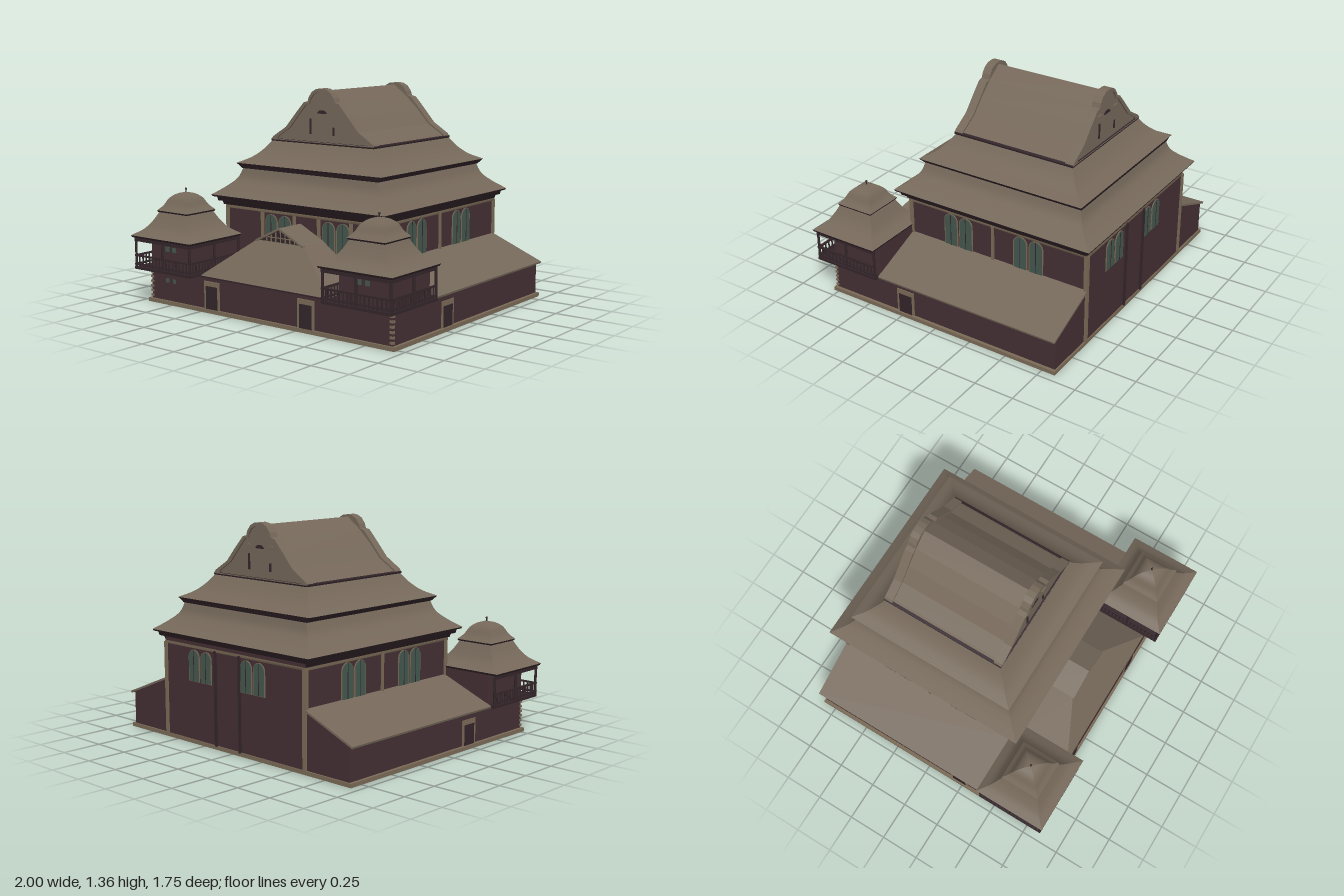
import * as THREE from 'three';

const mat = (name, color, side = THREE.FrontSide) => {
  const m = new THREE.MeshStandardMaterial({ color, side });
  m.name = name;
  return m;
};
const roofMat = mat('roof brown', 0x75685a, THREE.DoubleSide);
const wallMat = mat('dark maroon wall', 0x442f33);
const woodMat = mat('dark wood', 0x33252a, THREE.DoubleSide);
const trimMat = mat('tan trim', 0x7a6a56);
const glassMat = mat('green glass', 0x44584e);
const HALL_Z = -0.205; // centre of the hall and its roofs

function add(parent, name, geo, material, x = 0, y = 0, z = 0) {
  const m = new THREE.Mesh(geo, material);
  m.name = name;
  m.position.set(x, y, z);
  parent.add(m);
  return m;
}

// Box given by its extents
function block(parent, name, material, x0, x1, y0, y1, z0, z1) {
  return add(parent, name, new THREE.BoxGeometry(x1 - x0, y1 - y0, z1 - z0), material,
    (x0 + x1) / 2, (y0 + y1) / 2, (z0 + z1) / 2);
}

// Four-sided loft through rings of [half width, half depth, height]
function loft(rings) {
  const corners = [[-1, 1], [1, 1], [1, -1], [-1, -1]];
  const pos = [], idx = [];
  for (let k = 0; k < 4; k++) {
    const base = pos.length / 3;
    rings.forEach(([hx, hz, y], i) => {
      for (const [sx, sz] of [corners[k], corners[(k + 1) % 4]]) pos.push(sx * hx, y, sz * hz);
      if (i === 0) return;
      const a = base + 2 * (i - 1);
      idx.push(a, a + 1, a + 3, a, a + 3, a + 2);
    });
  }
  const g = new THREE.BufferGeometry();
  g.setAttribute('position', new THREE.Float32BufferAttribute(pos, 3));
  g.setIndex(idx);
  g.computeVertexNormals();
  return g;
}

// Smoothly curved roof through a few rings
function curvedRoof(rings, n = 12) {
  const c = new THREE.CatmullRomCurve3(rings.map(r => new THREE.Vector3(...r)));
  return loft(c.getPoints(n).map(p => [p.x, p.y, p.z]));
}

// Flat faces from lists of corners
function facets(faces) {
  const pos = [];
  for (const f of faces)
    for (let i = 1; i < f.length - 1; i++) pos.push(...f[0], ...f[i], ...f[i + 1]);
  const g = new THREE.BufferGeometry();
  g.setAttribute('position', new THREE.Float32BufferAttribute(pos, 3));
  g.computeVertexNormals();
  return g;
}

const extrude = (shape, depth) =>
  new THREE.ExtrudeGeometry(shape, { depth, bevelEnabled: false, curveSegments: 10 });
const poly = pts => new THREE.Shape(pts.map(p => new THREE.Vector2(...p)));
const mirrored = half => [...half, ...half.filter(p => p[0] > 0).reverse().map(([x, y]) => [-x, y])];

function archShape(w, h) {
  const s = new THREE.Shape(), r = w / 2;
  s.moveTo(-r, 0);
  s.lineTo(r, 0);
  s.lineTo(r, h - r);
  s.absarc(0, h - r, r, 0, Math.PI, false);
  s.closePath();
  return s;
}

// Pair of arched windows on a facade whose wall is at local z = 0
function windowPair(parent, x, y0, h) {
  for (const dx of [-0.054, 0.054]) {
    add(parent, 'windowFrame', extrude(archShape(0.098, h + 0.006), 0.004), trimMat, x + dx, y0 - 0.003, 0);
    add(parent, 'windowGlass', extrude(archShape(0.084, h), 0.007), glassMat, x + dx, y0, 0);
    block(parent, 'windowBar', woodMat, x + dx - 0.002, x + dx + 0.002, y0, y0 + h, 0.006, 0.009);
  }
}

function door(parent, x, y0, h) {
  block(parent, 'doorFrame', trimMat, x - 0.062, x + 0.062, y0, y0 + h, 0, 0.006);
  block(parent, 'door', woodMat, x - 0.046, x + 0.046, y0, y0 + h - 0.03, 0.004, 0.009);
}

function facade(parent, name, x, z, angle) {
  const g = new THREE.Group();
  g.name = name;
  g.position.set(x, 0, z);
  g.rotation.y = angle;
  parent.add(g);
  return g;
}

// Curved gable wall with raised rim and small openings
function gable() {
  const g = new THREE.Group();
  g.name = 'gable';
  const half = [[0.4, 1.02], [0.385, 1.04], [0.28, 1.105], [0.2, 1.195], [0.135, 1.265], [0.105, 1.272],
    [0.095, 1.3], [0.07, 1.333], [0.037, 1.35], [0, 1.355]];
  const pts = mirrored(half);
  add(g, 'gableWall', extrude(poly(pts), 0.045), roofMat);
  const rim = poly(pts);
  rim.holes.push(new THREE.Path(pts.map(([x, y]) => new THREE.Vector2(x * 0.88, 1.035 + (y - 1.03) * 0.92))));
  add(g, 'gableRim', extrude(rim, 0.056), roofMat);
  for (const s of [-1, 1]) {
    block(g, 'gableSlit', woodMat, s * 0.09 - 0.006, s * 0.09 + 0.006, 1.07, s < 0 ? 1.165 : 1.12, 0.044, 0.051);
    block(g, 'gableSill', trimMat, s * 0.09 - 0.02, s * 0.09 + 0.02, 1.215, 1.222, 0.044, 0.053);
  }
  add(g, 'gableOpening', extrude(archShape(0.07, 0.036).clone(), 0.005), woodMat, 0, 1.2, 0.044).scale.y = 0.6;
  return g;
}

// Corner tower with balcony and two-tier bell roof
function tower() {
  const g = new THREE.Group();
  g.name = 'cornerTower';
  block(g, 'towerRoom', wallMat, -0.185, 0.185, 0.22, 0.43, -0.23, 0.125);
  block(g, 'balconyFloor', woodMat, -0.24, 0.24, 0.218, 0.234, -0.23, 0.222);
  const zs = [-0.222, 0.214];
  for (const y of [0.25, 0.305, 0.408]) {
    const t = y > 0.4 ? 0.012 : 0.005;
    block(g, 'balconyRail', woodMat, -0.24, 0.24, y - t, y + t, 0.207, 0.221);
    for (const s of [-1, 1]) block(g, 'balconyRail', woodMat, s * 0.232 - 0.007, s * 0.232 + 0.007, y - t, y + t, ...zs);
  }
  for (let i = 0; i <= 16; i++) {
    const f = i / 16, post = i % 8 === 0;
    const geo = new THREE.CylinderGeometry(post ? 0.008 : 0.005, post ? 0.008 : 0.005, post ? 0.18 : 0.07, 6);
    const y = post ? 0.32 : 0.27;
    const name = post ? 'balconyPost' : 'baluster';
    add(g, name, geo, woodMat, -0.232 + 0.464 * f, y, 0.214);
    for (const s of [-1, 1]) add(g, name, geo, woodMat, s * 0.232, y, zs[0] + (zs[1] - zs[0]) * f);
  }
  block(g, 'towerWindow', glassMat, -0.06, -0.03, 0.335, 0.365, 0.12, 0.13);
  block(g, 'towerWindow', glassMat, 0.0, 0.03, 0.335, 0.365, 0.12, 0.13);
  add(g, 'towerSoffit', loft([[0.01, 0.01, 0.42], [0.25, 0.23, 0.42], [0.255, 0.235, 0.432]]), woodMat);
  add(g, 'towerLowerRoof', curvedRoof([[0.255, 0.235, 0.432], [0.19, 0.178, 0.475], [0.148, 0.145, 0.525], [0.115, 0.115, 0.585]]), roofMat);
  add(g, 'towerEave', loft([[0.1, 0.1, 0.578], [0.125, 0.122, 0.578], [0.13, 0.127, 0.588]]), woodMat);
  add(g, 'towerUpperRoof', curvedRoof([[0.13, 0.127, 0.588], [0.1, 0.098, 0.62], [0.075, 0.073, 0.665], [0.04, 0.04, 0.692], [0.003, 0.003, 0.702]]), roofMat);
  add(g, 'finial', new THREE.CylinderGeometry(0.003, 0.005, 0.03, 6), woodMat, 0, 0.712, 0);
  add(g, 'finialBall', new THREE.SphereGeometry(0.007, 8, 6), woodMat, 0, 0.722, 0);
  return g;
}

// Hipped porch roof ending in a small latticed pediment
function porch() {
  const g = new THREE.Group();
  g.name = 'porch';
  const faces = [[[-0.5, 0.225, 0.775], [0.5, 0.225, 0.775], [0.18, 0.462, 0.615], [-0.18, 0.462, 0.615]]];
  for (const s of [1, -1]) {
    const sides = [
      [[0.5, 0.225, 0.775], [0.5, 0.225, 0.42], [0.18, 0.462, 0.42], [0.18, 0.462, 0.615]],
      [[0.18, 0.462, 0.615], [0.18, 0.462, 0.42], [0, 0.55, 0.42], [0, 0.55, 0.615]],
    ];
    for (const f of sides) faces.push(s > 0 ? f : f.map(([x, y, z]) => [-x, y, z]).reverse());
    const rake = block(g, 'pedimentRake', roofMat, -0.1, 0.1, -0.006, 0.006, -0.012, 0.012);
    rake.position.set(s * 0.09, 0.502, 0.612);
    rake.rotation.z = -s * Math.atan2(0.088, 0.18);
  }
  add(g, 'porchRoof', facets(faces), roofMat);
  add(g, 'pediment', facets([[[-0.18, 0.462, 0.605], [0.18, 0.462, 0.605], [0, 0.55, 0.605]]]), woodMat);
  for (let i = -3; i <= 3; i++)
    block(g, 'pedimentLattice', trimMat, i * 0.036 - 0.003, i * 0.036 + 0.003, 0.462, 0.535 - Math.abs(i) * 0.017, 0.605, 0.61);
  block(g, 'pedimentBar', trimMat, -0.1, 0.1, 0.485, 0.49, 0.605, 0.611);
  block(g, 'porchEave', woodMat, -0.5, 0.5, 0.215, 0.224, 0.765, 0.776);
  return g;
}

export function createModel() {
  const root = new THREE.Group();
  root.name = 'timberHall';

  // Ground floor
  block(root, 'plinth', trimMat, -0.95, 0.95, 0, 0.024, -0.838, 0.782);
  block(root, 'groundFloor', wallMat, -0.93, 0.93, 0.02, 0.22, -0.828, 0.768);
  const front = facade(root, 'groundFront', 0, 0.768, 0);
  door(front, -0.41, 0.024, 0.172);
  door(front, 0.325, 0.024, 0.172);
  for (const x of [-0.79, -0.73]) block(front, 'smallWindow', glassMat, x - 0.012, x + 0.012, 0.14, 0.165, 0, 0.006);
  for (const s of [-1, 1]) {
    door(facade(root, 'groundSide', s * 0.93, 0.225, s * Math.PI / 2), 0, 0.024, 0.156);
    for (let i = 0; i < 6; i++) {
      const y = 0.035 + i * 0.03;
      block(root, 'quoin', trimMat, s * 0.925 - 0.012, s * 0.925 + 0.012, y, y + 0.014, 0.755, 0.774);
    }
  }

  // Hall walls, posts and windows
  block(root, 'hallWalls', wallMat, -0.6, 0.6, 0.02, 0.63, -0.832, 0.415);
  add(root, 'hallTopTrim', loft([[0.6, 0.623, 0.592], [0.608, 0.63, 0.592], [0.608, 0.63, 0.61]]), trimMat, 0, 0, HALL_Z);
  for (const x of [-0.597, 0.597]) for (const [z, y0] of [[0.41, 0.22], [-0.828, 0.02]])
    block(root, 'cornerPost', trimMat, x - 0.013, x + 0.013, y0, 0.6, z - 0.012, z + 0.012);
  const hallFront = facade(root, 'hallFront', 0, 0.415, 0);
  const hallBack = facade(root, 'hallBack', 0, -0.832, Math.PI);
  windowPair(hallFront, -0.18, 0.39, 0.19);
  windowPair(hallFront, 0.267, 0.39, 0.19);
  for (const x of [-0.305, -0.05, 0.14, 0.382]) block(hallFront, 'windowPost', trimMat, x - 0.012, x + 0.012, 0.39, 0.6, 0, 0.008);
  windowPair(hallBack, 0.18, 0.39, 0.19);
  windowPair(hallBack, -0.28, 0.39, 0.19);
  for (const x of [-0.14, 0.07]) block(hallBack, 'backPost', woodMat, x - 0.008, x + 0.008, 0.02, 0.6, 0, 0.012);
  for (const s of [-1, 1]) {
    const side = facade(root, 'hallSide', s * 0.6, 0, s * Math.PI / 2);
    for (const z of [0.06, -0.437]) windowPair(side, -s * z, 0.375, 0.21);
    block(side, 'sidePost', trimMat, s * 0.19 - 0.008, s * 0.19 + 0.008, 0.37, 0.6, 0, 0.012);
  }

  // Lean-to aisles
  for (const s of [-1, 1]) {
    const walls = [[0.59, 0.2], [0.93, 0.2], [0.93, 0.228], [0.59, 0.37]];
    const slab = [[0.59, 0.367], [0.957, 0.218], [0.96, 0.23], [0.59, 0.38]];
    const flip = pts => poly(pts.map(([x, y]) => [s * x, y]));
    add(root, 'aisleEnds', extrude(flip(walls), 1.243), wallMat, 0, 0, -0.828);
    add(root, 'aisleRoof', extrude(flip(slab), 1.25), roofMat, 0, 0, -0.838);
  }

  // Tiered main roof with dark cornices
  const tiers = new THREE.Group();
  tiers.name = 'mainRoof';
  tiers.position.z = HALL_Z + 0.01;
  root.add(tiers);
  add(tiers, 'lowerCornice', loft([[0.6, 0.61, 0.61], [0.615, 0.63, 0.612], [0.62, 0.635, 0.632],
    [0.64, 0.655, 0.636], [0.645, 0.66, 0.658], [0.665, 0.68, 0.664], [0.67, 0.685, 0.674]]), woodMat);
  add(tiers, 'lowerRoof', curvedRoof([[0.67, 0.685, 0.674], [0.6, 0.61, 0.73], [0.55, 0.565, 0.78], [0.52, 0.545, 0.845]]), roofMat);
  add(tiers, 'middleCornice', loft([[0.52, 0.54, 0.838], [0.53, 0.55, 0.84], [0.55, 0.555, 0.858], [0.562, 0.566, 0.872]]), woodMat);
  add(tiers, 'middleRoof', curvedRoof([[0.562, 0.566, 0.872], [0.49, 0.495, 0.91], [0.435, 0.445, 0.96], [0.395, 0.405, 1.015]]), roofMat);
  add(tiers, 'upperCornice', loft([[0.38, 0.4, 1.008], [0.4, 0.413, 1.012], [0.4, 0.413, 1.026], [0.36, 0.37, 1.028]]), woodMat);
  const ridge = mirrored([[0.392, 1.02], [0.37, 1.037], [0.27, 1.098], [0.19, 1.185], [0.1, 1.268], [0, 1.34]]);
  add(tiers, 'upperRoof', extrude(poly(ridge), 0.76), roofMat, 0, 0, -0.38);
  for (const s of [-1, 1]) {
    const end = gable();
    end.position.z = s * 0.358;
    end.rotation.y = s > 0 ? 0 : Math.PI;
    tiers.add(end);
  }

  // Porch and corner towers
  root.add(porch());
  for (const s of [-1, 1]) {
    const t = tower();
    t.position.set(s * 0.745, 0, 0.64);
    root.add(t);
  }
  return root;
}
